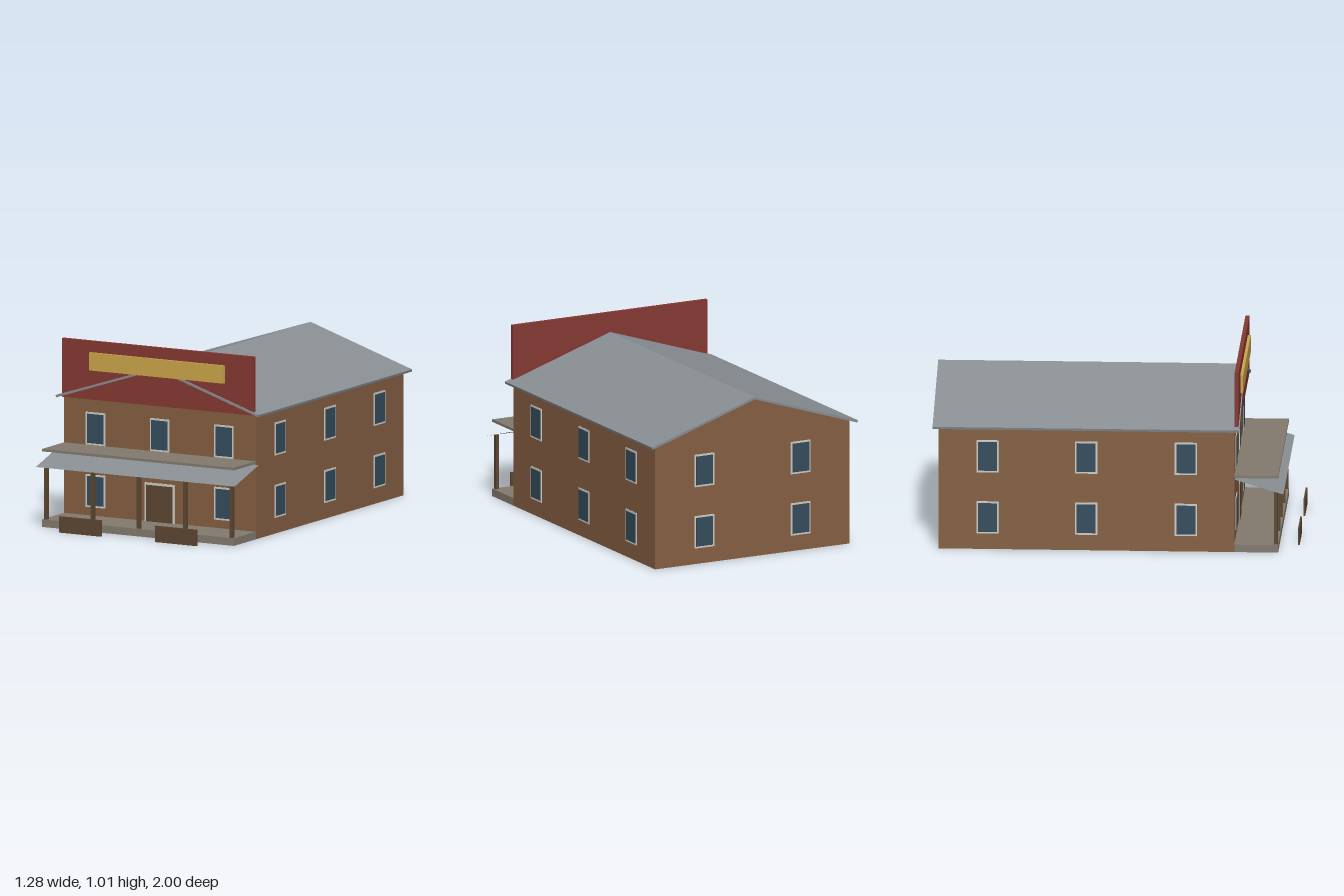
import * as THREE from 'three';

const mat = (name, color, side = THREE.FrontSide) => {
  const m = new THREE.MeshStandardMaterial({ side });
  m.name = name;
  m.color.set(color);
  return m;
};

export function createModel() {
  const group = new THREE.Group();
  group.name = 'saloonBuilding';

  const wall = mat('wallBrown', 0x855f42, THREE.DoubleSide);
  const roofGrey = mat('roofGrey', 0x888e92, THREE.DoubleSide);
  const red = mat('facadeRed', 0x853832);
  const gold = mat('signGold', 0xcba64a);
  const deck = mat('deckGrey', 0x827a6e);
  const wood = mat('darkWood', 0x5c4632);
  const trim = mat('trimWhite', 0xcfccc4);
  const glass = mat('windowBlue', 0x344c5c);

  const add = (name, geometry, material, parent = group) => {
    const mesh = new THREE.Mesh(geometry, material);
    mesh.name = name;
    parent.add(mesh);
    return mesh;
  };

  // Box given by its minimum and maximum on each axis
  const box = (name, material, [x0, x1], [y0, y1], [z0, z1], parent = group) => {
    const mesh = add(name, new THREE.BoxGeometry(x1 - x0, y1 - y0, z1 - z0), material, parent);
    mesh.position.set((x0 + x1) / 2, (y0 + y1) / 2, (z0 + z1) / 2);
    return mesh;
  };

  const W = 0.605, FRONT = 0.65, BACK = -0.97, EAVE = 0.69;

  // Walls: a box open at the bottom (the fourth face is left out)
  const body = new THREE.BoxGeometry(2 * W, EAVE, FRONT - BACK);
  const index = Array.from(body.index.array);
  index.splice(18, 6);
  body.setIndex(index);
  body.clearGroups();
  add('walls', body, wall).position.set(0, EAVE / 2, (FRONT + BACK) / 2);

  // Gable triangles
  const tri = new THREE.Shape([[-W, EAVE], [W, EAVE], [0, 0.89]].map(p => new THREE.Vector2(...p)));
  add('frontGable', new THREE.ShapeGeometry(tri), wall).position.z = FRONT;
  const rear = add('backGable', new THREE.ShapeGeometry(tri), wall);
  rear.position.z = BACK;
  rear.rotation.y = Math.PI;

  // Pitched roof as one extruded chevron
  const chevron = new THREE.Shape([
    [-0.638, 0.684], [0, 0.892], [0.638, 0.684], [0.641, 0.697], [0, 0.905], [-0.641, 0.697],
  ].map(p => new THREE.Vector2(...p)));
  add('roof', new THREE.ExtrudeGeometry(chevron, { depth: 1.68, bevelEnabled: false }), roofGrey)
    .position.z = -1;

  // False front and blank sign board
  box('falseFront', red, [-W, W], [EAVE, 1.015], [0.652, 0.674]);
  box('signBoard', gold, [-0.425, 0.425], [0.854, 0.953], [0.674, 0.69]);

  // Windows: thin frame plate with a thinner pane in front, facing +z before turning
  const addWindow = (x, y, z, angle) => {
    const w = new THREE.Group();
    w.name = 'window';
    box('windowFrame', trim, [-0.061, 0.061], [-0.091, 0.091], [0, 0.004], w);
    box('windowPane', glass, [-0.052, 0.052], [-0.081, 0.081], [0.004, 0.006], w);
    w.position.set(x, y, z);
    w.rotation.y = angle;
    group.add(w);
  };
  for (const y of [0.179, 0.525]) {
    for (const s of [-1, 1]) {
      addWindow(s * 0.405, y, FRONT, 0);
      addWindow(s * 0.3, y, BACK, Math.PI);
      for (const z of [0.385, -0.16, -0.7]) addWindow(s * W, y, z, s * Math.PI / 2);
    }
  }
  addWindow(0, 0.525, FRONT, 0);

  // Door
  box('doorFrame', trim, [-0.095, 0.095], [0.042, 0.257], [FRONT, 0.654]);
  box('door', wood, [-0.083, 0.083], [0.042, 0.244], [0.654, 0.657]);

  // Porch: floor, posts, sloping awning and balcony slab
  box('porchFloor', deck, [-W, W], [0, 0.042], [FRONT, 0.89]);
  box('balcony', deck, [-W, W], [0.419, 0.433], [FRONT, 0.89]);
  for (const x of [-0.585, -0.2925, 0, 0.2925, 0.585]) {
    box('porchPost', wood, [x - 0.01, x + 0.01], [0.042, 0.345], [0.867, 0.887]);
  }
  const run = 0.265, drop = 0.08;
  const awning = add('porchAwning', new THREE.PlaneGeometry(1.254, Math.hypot(run, drop)), roofGrey);
  awning.rotation.x = -Math.atan2(run, drop);
  awning.position.set(0, 0.375, 0.7875);

  // Low boards standing in front of the porch
  for (const s of [-1, 1]) {
    box('frontBoard', wood, [s * 0.302 - 0.132, s * 0.302 + 0.132], [0, 0.09], [0.99, 1]);
  }

  return group;
}
